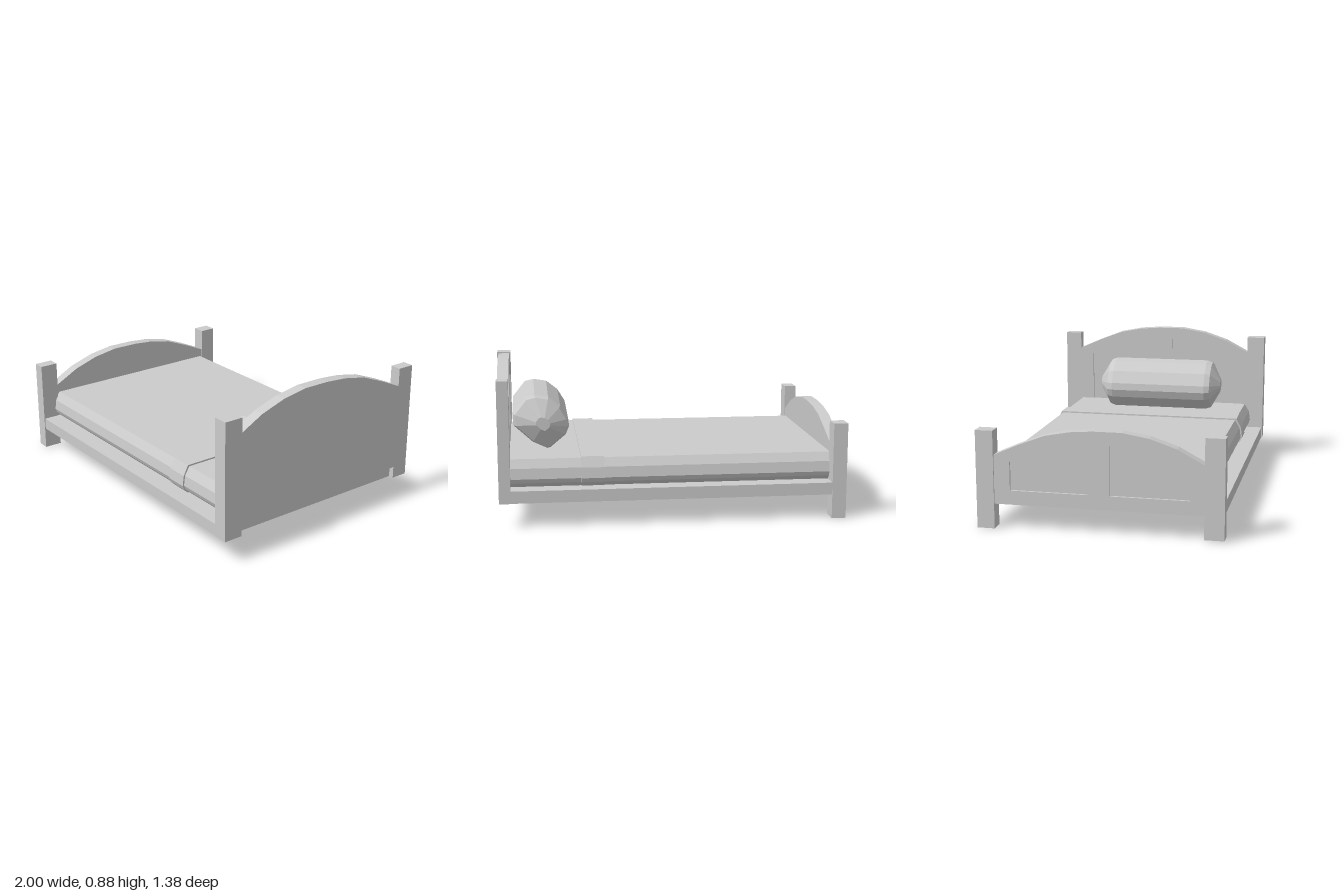
import * as THREE from 'three';
import { ConvexGeometry } from 'three/addons/geometries/ConvexGeometry.js';

const material = new THREE.MeshStandardMaterial({ color: 0xcccccc, flatShading: true });

function add(parent, name, geometry) {
  const mesh = new THREE.Mesh(geometry, material);
  mesh.name = name;
  parent.add(mesh);
  return mesh;
}

// Box given by its limits on each axis
function block(parent, name, [x0, x1], [y0, y1], [z0, z1]) {
  const g = new THREE.BoxGeometry(x1 - x0, y1 - y0, z1 - z0);
  g.translate((x0 + x1) / 2, (y0 + y1) / 2, (z0 + z1) / 2);
  return add(parent, name, g);
}

// Extrudes a [z, y] outline (with optional holes) along x
function extrudeX(outline, x0, x1, holes = []) {
  const toVectors = (pts) => pts.map(([z, y]) => new THREE.Vector2(-z, y));
  const shape = new THREE.Shape(toVectors(outline));
  holes.forEach((h) => shape.holes.push(new THREE.Path(toVectors(h))));
  const g = new THREE.ExtrudeGeometry(shape, { depth: x1 - x0, bevelEnabled: false });
  g.rotateY(Math.PI / 2);
  g.translate(x0, 0, 0);
  return g;
}

// Arch curve, as drop below the peak
const ARCH = [[-0.59, 0.157], [-0.45, 0.095], [-0.3, 0.037], [-0.16, 0.01], [-0.03, 0],
  [0.13, 0], [0.28, 0.025], [0.43, 0.075], [0.58, 0.155]];

function archDrop(z) {
  for (let i = 1; i < ARCH.length; i++) {
    const [za, da] = ARCH[i - 1], [zb, db] = ARCH[i];
    if (z <= zb) return da + ((db - da) * (z - za)) / (zb - za);
  }
  return ARCH[ARCH.length - 1][1];
}

// Arched end board: plain backing plus a frame with two sunken panels on the -x face
function endBoard(name, x0, x1, bottom, peak, panelBottom) {
  const group = new THREE.Group();
  group.name = name;
  const outline = [[-0.59, bottom], ...ARCH.map(([z, d]) => [z, peak - d]), [0.58, bottom]];
  const holes = [[-0.5, -0.06], [0.06, 0.5]].map(([a, b]) => {
    const pts = [[a, panelBottom]];
    for (let i = 0; i <= 4; i++) {
      const z = a + ((b - a) * i) / 4;
      pts.push([z, peak - 0.075 - archDrop(z)]);
    }
    pts.push([b, panelBottom]);
    return pts;
  });
  const split = x0 + 0.015;
  add(group, name + 'Backing', extrudeX(outline, split, x1));
  add(group, name + 'Frame', extrudeX(outline, x0, split, holes));
  return group;
}

// Mattress-like outline with rounded sides, grown outwards by e
function paddedOutline(e) {
  const side = [[0.575, 0.21], [0.6, 0.235], [0.61, 0.26], [0.602, 0.32], [0.572, 0.37]];
  const grown = side.map(([z, y], i) => [z + e, i === 4 ? y + e : y]);
  const mirrored = grown.map(([z, y]) => [-z, y]).reverse();
  return [...grown, ...mirrored].map(([z, y]) => [z - 0.005, y]);
}

export function createModel() {
  const bed = new THREE.Group();
  bed.name = 'bed';

  // Base slab forming the side rails
  block(bed, 'bedBase', [-0.94, 0.95], [0.14, 0.21], [-0.685, 0.685]);

  // Corner posts; the foot posts run down into legs
  block(bed, 'footPostFront', [-0.993, -0.92], [0.01, 0.57], [0.58, 0.69]);
  block(bed, 'footPostBack', [-1, -0.918], [0, 0.555], [-0.69, -0.59]);
  block(bed, 'headPostFront', [0.915, 1], [0.14, 0.83], [0.578, 0.69]);
  block(bed, 'headPostBack', [0.915, 0.98], [0.14, 0.83], [-0.69, -0.588]);

  // End boards
  bed.add(endBoard('footboard', -0.99, -0.925, 0.14, 0.575, 0.22));
  bed.add(endBoard('headboard', 0.915, 0.98, 0.21, 0.88, 0.3));

  // Mattress and the folded band of blanket across it
  add(bed, 'mattress', extrudeX(paddedOutline(0), -0.925, 0.92));
  add(bed, 'blanketFold', extrudeX(paddedOutline(0.009), 0.385, 0.515));

  // Pillow leaning on the headboard, lofted from scaled copies of one section
  const section = [[0.57, 0.5], [0.575, 0.545], [0.62, 0.62], [0.69, 0.675], [0.77, 0.688],
    [0.825, 0.675], [0.9, 0.58], [0.895, 0.51], [0.785, 0.41], [0.7, 0.37], [0.68, 0.375], [0.59, 0.45]];
  const rings = [[-0.385, 0.25], [-0.325, 0.92], [-0.29, 1], [0.33, 1], [0.365, 0.92], [0.425, 0.25]];
  const points = [];
  for (const [z, s] of rings) {
    for (const [x, y] of section) {
      points.push(new THREE.Vector3(0.72 + (x - 0.72) * s, 0.53 + (y - 0.53) * s, z));
    }
  }
  add(bed, 'pillow', new ConvexGeometry(points));

  return bed;
}
